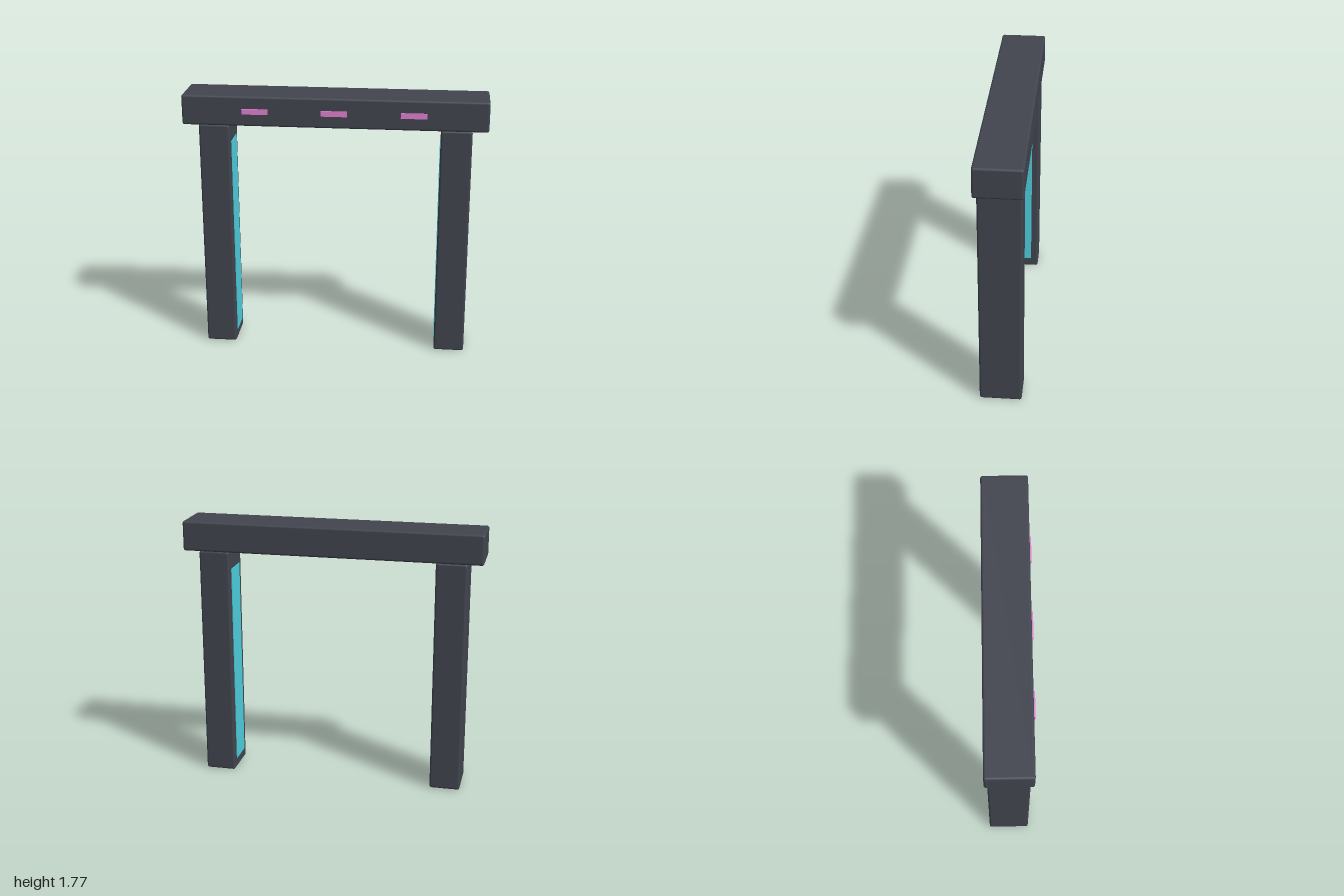
import * as THREE from 'three';
import { RoundedBoxGeometry } from 'three/addons/geometries/RoundedBoxGeometry.js';

export function createModel() {
  const model = new THREE.Group();
  model.name = 'gateway';

  const frameMat = new THREE.MeshStandardMaterial({ color: 0x41454e });
  const stripMat = new THREE.MeshStandardMaterial({ color: 0x4fd0e0 });
  const markerMat = new THREE.MeshStandardMaterial({ color: 0xe080d0 });

  const zMid = -0.005; // the frame sits slightly back to balance the front markers

  function add(name, geometry, material, x, y, z) {
    const mesh = new THREE.Mesh(geometry, material);
    mesh.name = name;
    mesh.position.set(x, y, z);
    model.add(mesh);
  }

  // Lintel across the top
  add('lintel', new RoundedBoxGeometry(2, 0.2, 0.306, 3, 0.015), frameMat, 0, 1.675, zMid);

  // Posts with a light strip on each inner face
  for (const [side, s] of [['left', 1], ['right', -1]]) {
    add(side + 'Post', new RoundedBoxGeometry(0.205, 1.575, 0.276, 3, 0.015), frameMat, s * 0.793, 0.7875, zMid);
    add(side + 'LightStrip', new THREE.BoxGeometry(0.015, 1.38, 0.175), stripMat, s * 0.6935, 0.76, zMid);
  }

  // Light strip under the lintel
  add('topLightStrip', new THREE.BoxGeometry(1.38, 0.02, 0.175), stripMat, 0, 1.573, zMid);

  // Three markers on the front of the lintel
  for (const x of [-0.517, 0, 0.517]) {
    add('marker', new THREE.BoxGeometry(0.17, 0.035, 0.02), markerMat, x, 1.675, 0.149);
  }

  return model;
}
